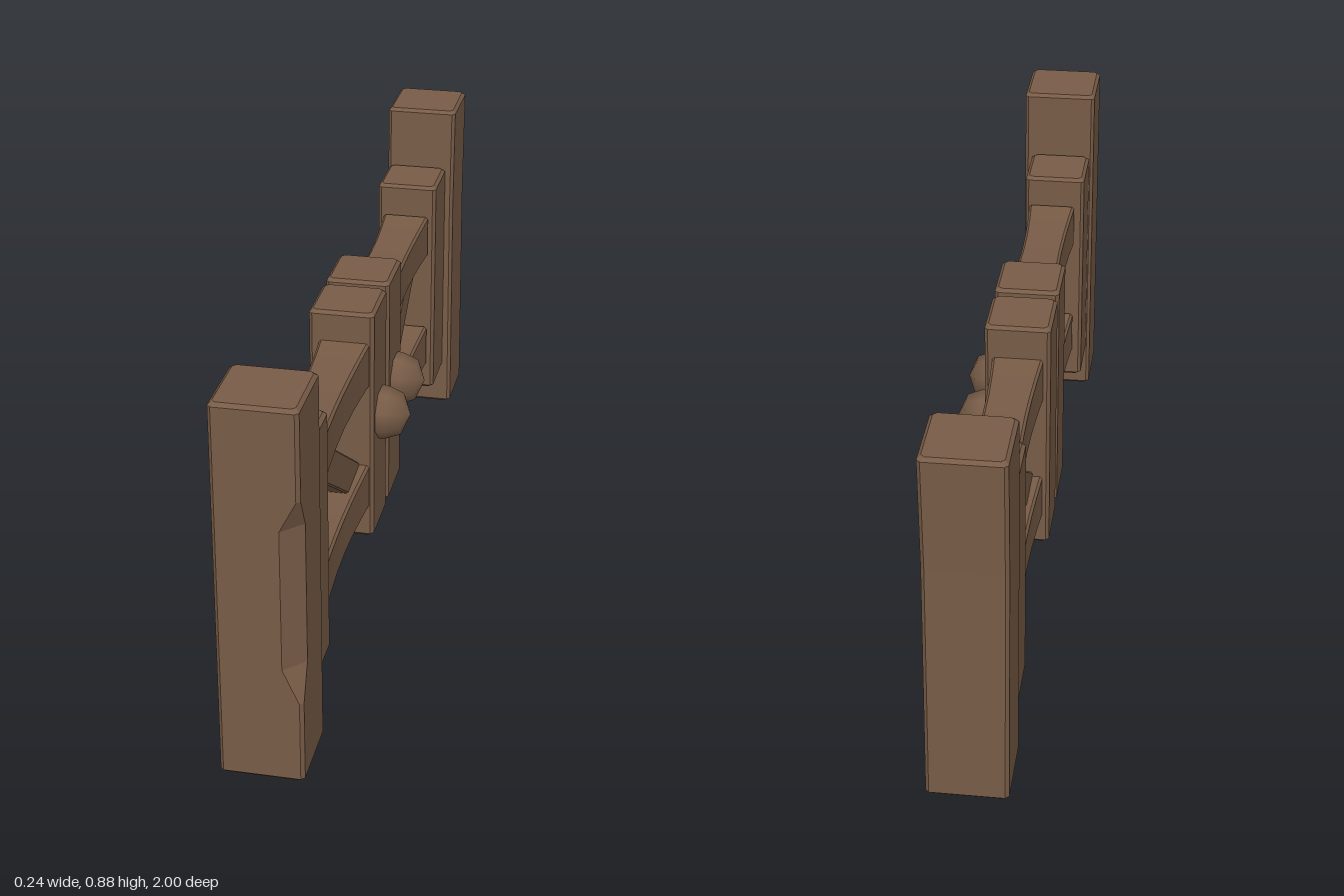
import * as THREE from 'three';

const wood = new THREE.MeshStandardMaterial({ color: 0x785c47 });
wood.name = 'brown wood';

// Flat-shaded beam lofted through bevelled rectangles.
// Section: { w, u: [min, max], v: [min, max], k: cut of the (max, max) corner }.
// Axis 'y' maps (u, v, w) to (z, x, y); axis 'z' maps them to (x, y, z).
function beam(name, axis, sections, bevel = 0.008) {
  const first = sections[0], last = sections[sections.length - 1];
  const inset = (s, w) => ({
    ...s, w,
    u: [s.u[0] + bevel, s.u[1] - bevel],
    v: [s.v[0] + bevel, s.v[1] - bevel],
  });
  const all = [
    inset(first, first.w), { ...first, w: first.w + bevel },
    ...sections.slice(1, -1),
    { ...last, w: last.w - bevel }, inset(last, last.w),
  ];
  const rings = all.map(({ w, u: [a, b], v: [c, d], k = bevel }) => [
    [a + bevel, c], [b - bevel, c], [b, c + bevel], [b, d - k],
    [b - k, d], [a + bevel, d], [a, d - bevel], [a, c + bevel],
  ].map(([u, v]) => (axis === 'y' ? [v, w, u] : [u, v, w])));

  const pos = [];
  const tri = (...pts) => pts.forEach((p) => pos.push(...p));
  for (let r = 0; r < rings.length - 1; r++) {
    for (let i = 0; i < 8; i++) {
      const j = (i + 1) % 8, p = rings[r], q = rings[r + 1];
      tri(p[i], p[j], q[j]);
      tri(p[i], q[j], q[i]);
    }
  }
  const top = rings[rings.length - 1];
  for (let i = 1; i < 7; i++) {
    tri(rings[0][0], rings[0][i + 1], rings[0][i]);
    tri(top[0], top[i], top[i + 1]);
  }
  const geo = new THREE.BufferGeometry();
  geo.setAttribute('position', new THREE.Float32BufferAttribute(pos, 3));
  geo.computeVertexNormals();
  const mesh = new THREE.Mesh(geo, wood);
  mesh.name = name;
  return mesh;
}

// Straight upright between two z values
function upright(name, z) {
  const s = { u: z, v: [-0.11, 0.045] };
  return beam(name, 'y', [{ ...s, w: 0.12 }, { ...s, w: 0.715 }]);
}

// Rail that thins towards its middle
function rail(name, z0, z1, y0, y1, x) {
  const sections = [];
  for (let i = 0; i <= 6; i++) {
    const t = i / 6, pinch = 0.009 * Math.sin(Math.PI * t);
    sections.push({
      w: z0 + (z1 - z0) * t,
      u: [x - 0.06 + pinch, x + 0.06 - pinch],
      v: [y0 + pinch * 0.5, y1 - pinch],
    });
  }
  return beam(name, 'z', sections, 0.006);
}

// One gate leaf; side is +1 at the front, -1 at the back
function leaf(side) {
  const g = new THREE.Group();
  g.name = side > 0 ? 'frontGate' : 'backGate';
  const span = (a, b) => (side > 0 ? [a, b] : [-b, -a]);
  const x = side > 0 ? -0.026 : -0.033;
  const drop = side > 0 ? 0 : 0.006;
  const [z0, z1] = span(0.165, 0.65);

  g.add(upright('innerUpright', span(0.012, 0.172)));
  g.add(upright('outerUpright', span(0.655, 0.813)));
  g.add(rail('upperRail', z0, z1, 0.525 - drop, 0.64 - drop, x));
  g.add(rail('lowerRail', z0, z1, 0.201 - drop, 0.317 - drop, x));

  // Diagonal brace rising towards the outer upright
  const half = 0.265;
  const brace = beam('brace', 'z', [-half, half].map((w) => (
    { w, u: [-0.036, 0.036], v: [-0.042, 0.042] })), 0.004);
  brace.position.set(x, 0.422, side * 0.395);
  brace.rotation.x = -side * Math.atan2(0.2, 0.3);
  g.add(brace);

  // Faceted round knob
  const profile = [[0.058, 0.035], [0.066, 0.05], [0.063, 0.066], [0.05, 0.1], [0, 0.12]]
    .map(([r, h]) => new THREE.Vector2(r, h));
  const knob = new THREE.Mesh(new THREE.LatheGeometry(profile, 8, Math.PI / 8), wood);
  knob.name = 'knob';
  knob.rotation.z = -Math.PI / 2;
  knob.position.set(0, 0.425, side * 0.094);
  g.add(knob);
  return g;
}

export function createModel() {
  const model = new THREE.Group();
  model.name = 'doubleGate';
  model.add(leaf(1), leaf(-1));

  // Front post with a chipped corner
  const f = { u: [0.815, 1], v: [-0.12, 0.065] };
  model.add(beam('frontPost', 'y', [
    { ...f, w: 0 }, { ...f, w: 0.2 }, { ...f, w: 0.28, k: 0.044 },
    { ...f, w: 0.61, k: 0.044 }, { ...f, w: 0.68 }, { ...f, w: 0.885 },
  ]));

  // Back post, leaning outward near the top
  model.add(beam('backPost', 'y', [
    { w: 0.005, u: [-0.984, -0.804], v: [-0.113, 0.069] },
    { w: 0.6, u: [-0.988, -0.809], v: [-0.115, 0.066] },
    { w: 0.873, u: [-1, -0.817], v: [-0.115, 0.067] },
  ]));
  return model;
}
